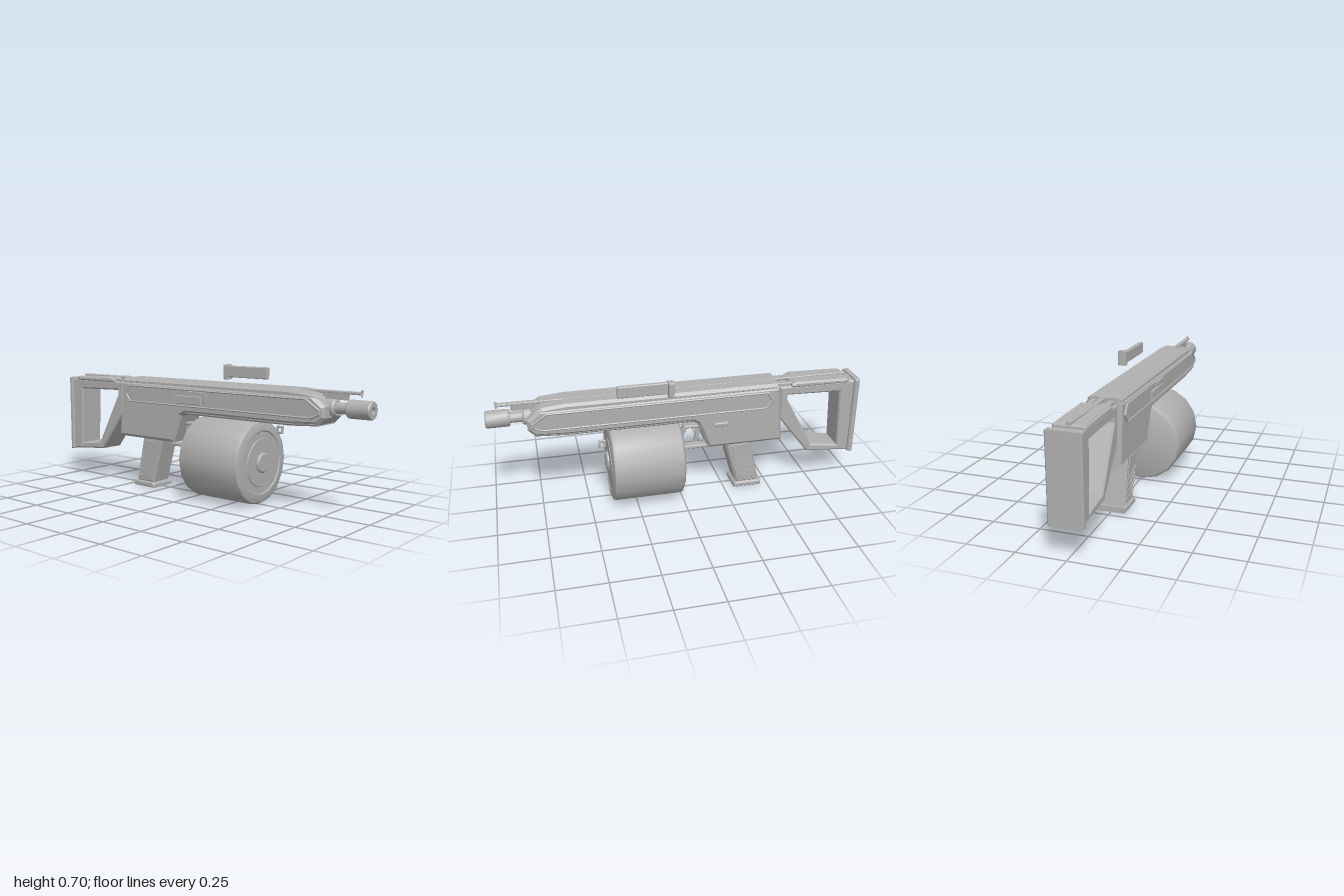
import * as THREE from 'three';
import { toCreasedNormals } from 'three/addons/utils/BufferGeometryUtils.js';

export function createModel() {
  const root = new THREE.Group();
  root.name = 'toyBlaster';
  const grey = new THREE.MeshStandardMaterial({ color: 0xb0b0b0 });
  grey.name = 'plain grey';

  const add = (name, geometry) => {
    const mesh = new THREE.Mesh(geometry, grey);
    mesh.name = name;
    root.add(mesh);
    return mesh;
  };
  const vecs = (pts) => pts.map(([x, y]) => new THREE.Vector2(x, y));

  // Side profile extruded from z0 to z1, with chamfered edges inside the outline
  const plate = (name, pts, z0, z1, bevel = 0, hole = null) => {
    const shape = new THREE.Shape(vecs(pts));
    if (hole) shape.holes.push(new THREE.Path(vecs(hole)));
    const g = new THREE.ExtrudeGeometry(shape, {
      depth: z1 - z0 - 2 * bevel, bevelEnabled: bevel > 0, bevelThickness: bevel,
      bevelSize: bevel, bevelOffset: -bevel, bevelSegments: 1,
    });
    g.translate(0, 0, z0 + bevel);
    return add(name, g);
  };
  const rect = (x0, x1, y0, y1) => [[x0, y0], [x1, y0], [x1, y1], [x0, y1]];
  const block = (name, x0, x1, y0, y1, z0, z1, bevel = 0) =>
    plate(name, rect(x0, x1, y0, y1), z0, z1, bevel);

  // Round part along x: profile of [radius, x]
  const turned = (name, profile, y, sides = 16, crease = 0.5) => {
    const g = new THREE.LatheGeometry(vecs(profile), sides);
    g.rotateZ(-Math.PI / 2);
    g.translate(0, y, 0);
    return add(name, toCreasedNormals(g, crease));
  };

  // Receiver and fore-end
  plate('receiver', [
    [-0.565, 0.28], [-0.15, 0.28], [-0.115, 0.37], [-0.09, 0.43], [-0.06, 0.447],
    [0.6, 0.447], [0.76, 0.455], [0.795, 0.49], [0.795, 0.545], [0.73, 0.597], [-0.54, 0.6],
  ], -0.092, 0.092, 0.016);
  plate('lowerRail', [[-0.1, 0.44], [0.6, 0.44], [0.76, 0.45], [0.76, 0.47], [-0.1, 0.47]],
    -0.082, 0.082, 0.008);
  plate('topCover', [[-0.535, 0.58], [0.76, 0.58], [0.72, 0.605], [0.6, 0.616], [-0.535, 0.616]],
    -0.086, 0.086, 0.014);

  // Long side panels, with a raised inner face
  const panel = [
    [-0.51, 0.53], [-0.475, 0.483], [0.73, 0.483], [0.775, 0.505], [0.775, 0.53],
    [0.7, 0.58], [-0.475, 0.58],
  ];
  const inner = [
    [-0.49, 0.53], [-0.465, 0.492], [0.72, 0.492], [0.758, 0.508], [0.758, 0.528],
    [0.69, 0.571], [-0.465, 0.571],
  ];
  for (const s of [1, -1]) {
    const side = s > 0 ? 'left' : 'right';
    plate(side + 'PanelFrame', panel, s > 0 ? 0.085 : -0.1, s > 0 ? 0.1 : -0.085, 0.004, inner);
    plate(side + 'Panel', inner, s > 0 ? 0.085 : -0.096, s > 0 ? 0.096 : -0.085);
  }

  // Bolt cover and charging handle on the left side
  block('boltCover', -0.03, 0.1, 0.512, 0.57, 0.09, 0.102, 0.002);
  block('chargingHandle', -0.12, 0.065, 0.5, 0.545, 0.09, 0.107, 0.003);
  // Push button on the right side
  plate('pushButton', [
    [-0.25, 0.41], [-0.18, 0.41], [-0.17, 0.42], [-0.18, 0.432], [-0.25, 0.432], [-0.26, 0.42],
  ], -0.109, -0.088, 0.004);

  // Sight rail and front bead
  block('sightRail', -0.94, 0.94, 0.603, 0.617, -0.013, 0.013, 0.003);
  block('railSupport', 0.74, 0.87, 0.575, 0.607, -0.012, 0.012);
  const post = new THREE.CylinderGeometry(0.004, 0.004, 0.03, 8);
  add('sightPost', post).position.set(0.94, 0.605, 0);
  add('sightBead', new THREE.SphereGeometry(0.007, 12, 8)).position.set(0.94, 0.621, 0);

  // Barrel and bored muzzle
  turned('barrelCollar', [[0, 0.77], [0.045, 0.77], [0.045, 0.805], [0.036, 0.815], [0, 0.815]], 0.535);
  turned('barrel', [[0.028, 0.78], [0.028, 0.89]], 0.535);
  turned('muzzle', [
    [0, 0.876], [0.04, 0.876], [0.045, 0.883], [0.045, 0.993], [0.041, 1],
    [0.018, 1], [0.018, 0.96], [0, 0.96],
  ], 0.535);

  // Drum and its hub
  turned('drum', [
    [0, 0], [0.2, 0], [0.214, 0.007], [0.22, 0.02], [0.22, 0.365], [0.214, 0.378],
    [0.2, 0.384], [0.168, 0.387], [0.162, 0.382], [0.128, 0.382], [0.126, 0.386], [0, 0.386],
  ], 0.22, 16, 0.6);
  turned('drumHub', [[0.054, 0.38], [0.054, 0.393], [0.046, 0.4], [0, 0.4]], 0.22, 12);

  // Trigger guard and trigger
  plate('triggerGuard', [
    [-0.235, 0.27], [-0.215, 0.248], [-0.025, 0.248], [-0.008, 0.268], [-0.008, 0.345],
    [-0.03, 0.39], [-0.2, 0.39],
  ], -0.025, 0.025, 0.004, [
    [-0.21, 0.28], [-0.2, 0.268], [-0.035, 0.268], [-0.025, 0.28], [-0.025, 0.335],
    [-0.045, 0.375], [-0.19, 0.375],
  ]);
  plate('trigger', [
    [-0.12, 0.38], [-0.085, 0.38], [-0.1, 0.33], [-0.085, 0.285], [-0.1, 0.285], [-0.12, 0.33],
  ], -0.01, 0.01);

  // Grip, its base and slanted ridges on both sides
  plate('grip', [[-0.45, 0.025], [-0.32, 0.025], [-0.245, 0.29], [-0.395, 0.29]], -0.068, 0.068, 0.012);
  plate('gripBase', [[-0.462, 0], [-0.305, 0], [-0.305, 0.018], [-0.315, 0.03], [-0.462, 0.03]],
    -0.078, 0.078, 0.006);
  for (const s of [1, -1]) {
    plate('gripPanel', [[-0.425, 0.05], [-0.335, 0.05], [-0.28, 0.27], [-0.37, 0.27]],
      s > 0 ? 0.064 : -0.071, s > 0 ? 0.071 : -0.064, 0.002);
    for (let i = 0; i < 4; i++) {
      const x = -0.415 + i * 0.008, y = 0.062 + i * 0.033;
      plate('gripRidge', [[x, y], [x + 0.025, y], [x + 0.1, y + 0.028], [x + 0.1, y + 0.036], [x + 0.022, y + 0.009], [x, y + 0.009]],
        s > 0 ? 0.068 : -0.076, s > 0 ? 0.076 : -0.068);
    }
  }

  // Open stock frame
  plate('stockFrame', [
    [-0.975, 0.16], [-0.725, 0.182], [-0.555, 0.4], [-0.545, 0.59], [-0.975, 0.59],
  ], -0.075, 0.075, 0.008, [
    [-0.905, 0.2], [-0.75, 0.222], [-0.59, 0.515], [-0.59, 0.54], [-0.89, 0.532],
  ]);
  plate('cheekRest', [[-0.94, 0.58], [-0.61, 0.58], [-0.61, 0.6], [-0.635, 0.613], [-0.92, 0.607], [-0.94, 0.6]],
    -0.08, 0.08, 0.01);
  plate('buttPad', [[-1, 0.153], [-0.97, 0.156], [-0.97, 0.597], [-1, 0.597]], -0.087, 0.087, 0.007);
  for (const z of [-0.045, 0.045])
    block('stockRail', -0.64, -0.53, 0.585, 0.605, z - 0.012, z + 0.012, 0.003);

  // Separate catch bar with its end block, and small square loop
  block('catchBar', 0.06, 0.34, 0.638, 0.7, -0.125, -0.1, 0.004);
  block('catchEnd', 0.05, 0.08, 0.625, 0.705, -0.147, -0.1, 0.004);
  plate('squareLoop', rect(0.407, 0.445, 0.362, 0.403), -0.108, -0.095, 0.002,
    rect(0.417, 0.435, 0.373, 0.393));

  return root;
}
